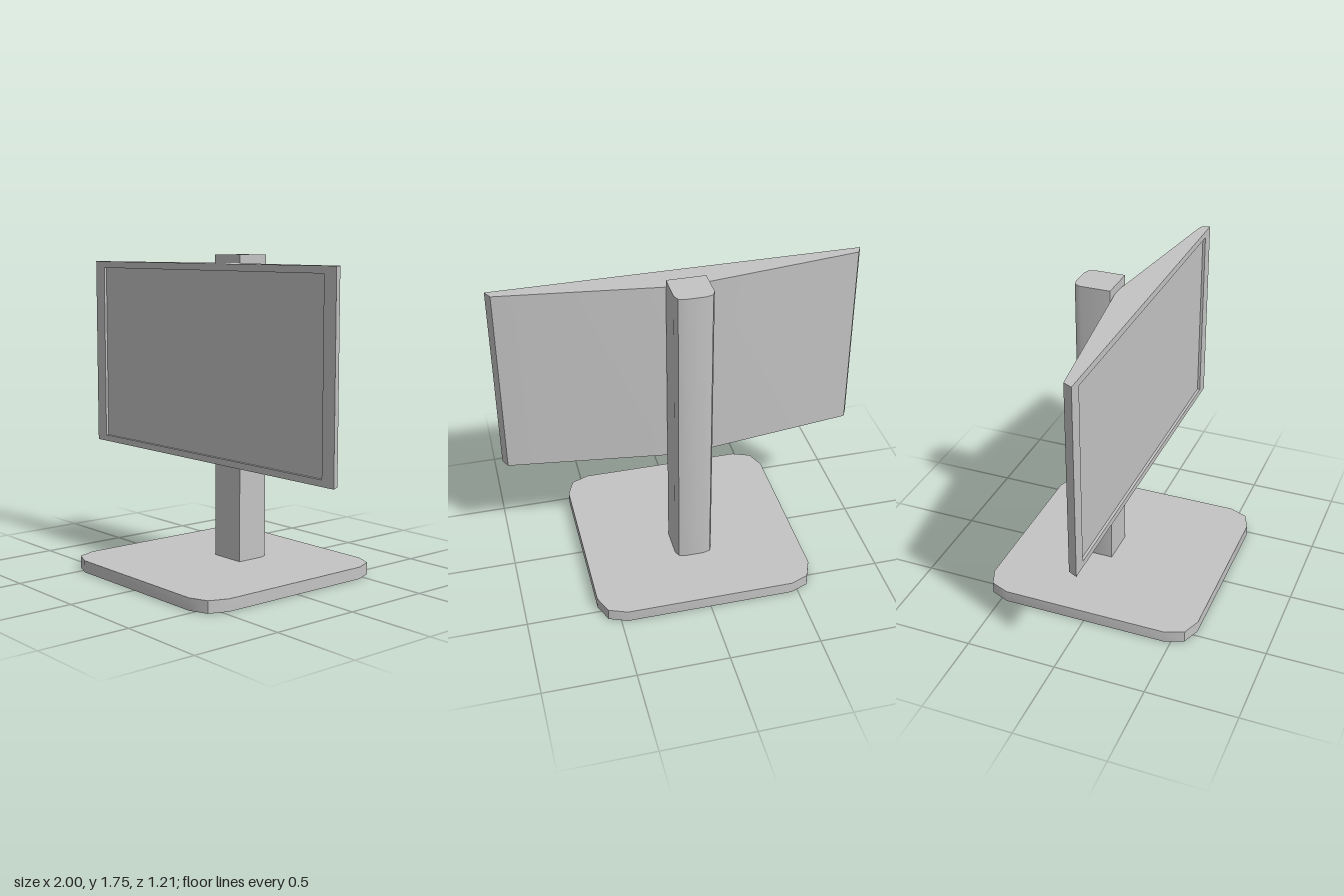
import * as THREE from 'three';
import { toCreasedNormals } from 'three/addons/utils/BufferGeometryUtils.js';

const grey = new THREE.MeshStandardMaterial({ color: 0xc4c4c4 });
grey.name = 'light grey';

// Extrudes a plan outline of [x, z] points upwards from y0 to y1
function prism(name, outline, y0, y1) {
  const shape = new THREE.Shape(outline.map(([x, z]) => new THREE.Vector2(x, -z)));
  const geometry = new THREE.ExtrudeGeometry(shape, { depth: y1 - y0, bevelEnabled: false });
  geometry.rotateX(-Math.PI / 2).translate(0, y0, 0);
  const mesh = new THREE.Mesh(toCreasedNormals(geometry, Math.PI / 6), grey);
  mesh.name = name;
  return mesh;
}

// Completes the right half of an outline with its mirror image
const mirrored = (half) => [...half, ...half.map(([x, z]) => [-x, z]).reverse()];

function rectangle(PathType, w, y0, y1) {
  return new PathType([[-w, y0], [w, y0], [w, y1], [-w, y1]].map(([x, y]) => new THREE.Vector2(x, y)));
}

export function createModel() {
  const model = new THREE.Group();
  model.name = 'monitor';

  // Square foot with two-step cut corners
  model.add(prism('base', mirrored([
    [0.465, 0.607], [0.565, 0.567], [0.607, 0.465],
    [0.607, -0.465], [0.565, -0.567], [0.465, -0.607],
  ]), 0, 0.066));

  // Upright post, rounded at the back
  model.add(prism('post', mirrored([
    [0.105, -0.035], [0.105, -0.2], [0.09, -0.234], [0.05, -0.245],
  ]), 0.066, 1.747));

  // Wedge-backed housing; its front face is the recessed screen
  const bottom = 0.635, top = 1.702, front = 0.14, recess = 0.015;
  const innerHalf = 1 - recess * 0.5;
  model.add(prism('housing', mirrored([
    [innerHalf, front - recess], [0.975, 0.09], [0.04, -0.035],
  ]), bottom, top));

  // Raised frame around the screen, its sides following the housing's taper
  const shape = rectangle(THREE.Shape, 1, bottom, top);
  shape.holes.push(rectangle(THREE.Path, 0.917, 0.67, 1.665));
  const geometry = new THREE.ExtrudeGeometry(shape, { depth: recess, bevelEnabled: false });
  const p = geometry.attributes.position;
  for (let i = 0; i < p.count; i++) {
    if (p.getZ(i) < recess / 2 && Math.abs(p.getX(i)) > 0.95) p.setX(i, Math.sign(p.getX(i)) * innerHalf);
  }
  geometry.translate(0, 0, front - recess);
  geometry.computeVertexNormals();
  const bezel = new THREE.Mesh(geometry, grey);
  bezel.name = 'screenFrame';
  model.add(bezel);

  return model;
}
